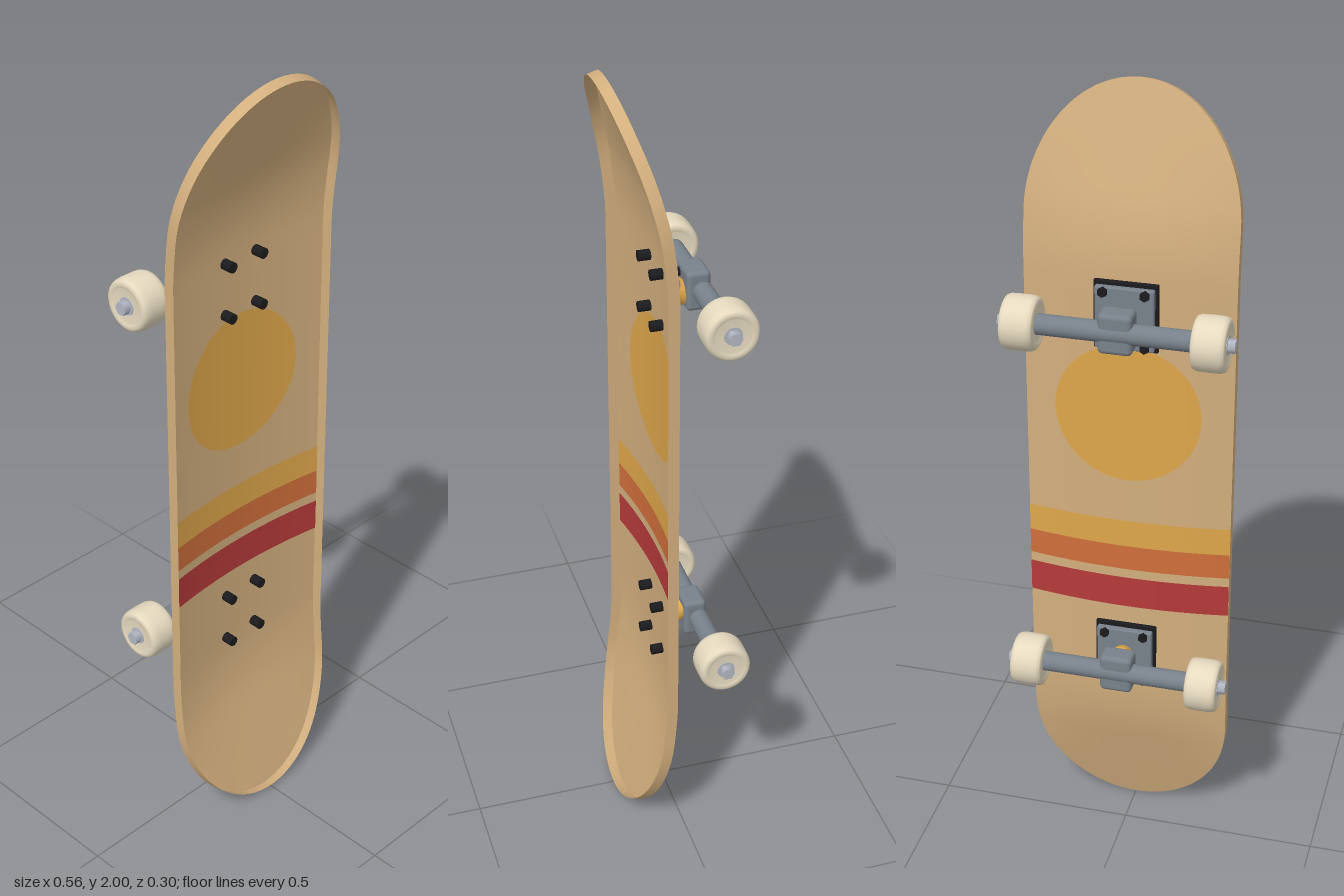
import * as THREE from 'three';
import { RoundedBoxGeometry } from 'three/addons/geometries/RoundedBoxGeometry.js';

const paint = (name, color, side = THREE.FrontSide) => {
  const m = new THREE.MeshStandardMaterial({ color, side });
  m.name = name;
  return m;
};

// Deck dimensions
const Y0 = 0.008, Y1 = 1.992, HALF = 0.255, NOSE = 0.31, THICK = 0.027;

// Half width of the deck outline at height y
function halfWidth(y) {
  const d = Math.max(0, Y0 + NOSE - y, y - (Y1 - NOSE)) / NOSE;
  return HALF * Math.sqrt(Math.max(0, 1 - d * d));
}

// Flat, then a smooth bend into a straight kick: returns rise and slope
function kick(d, slope) {
  if (d <= 0) return [0, 0];
  if (d < 0.2) return [slope * d * d / 0.4, slope * d / 0.2];
  return [slope * (d - 0.1), slope];
}

// Point on the deck, at a depth measured back from the front of its rim
function deckPoint(x, y, depth) {
  const [r1, s1] = kick(y - 1.55, 0.329);
  const [r0, s0] = kick(0.45 - y, 0.283);
  const slope = s1 - s0, len = Math.hypot(1, slope);
  const concave = 0.022 * (1 - 0.8 * THREE.MathUtils.smoothstep(Math.abs(y - 1), 0.6, 0.88));
  const z = 0.039 + r1 + r0 + concave * (x / HALF) ** 2;
  return [x, y + depth * slope / len, z - depth / len];
}

// Grid surface from a function of (column, row)
function gridGeometry(cols, rows, point, flip = false) {
  const pos = [], index = [];
  for (let j = 0; j <= rows; j++)
    for (let i = 0; i <= cols; i++) pos.push(...point(i / cols, j));
  for (let j = 0; j < rows; j++)
    for (let i = 0; i < cols; i++) {
      const a = j * (cols + 1) + i, b = a + 1, c = a + cols + 1, d = c + 1;
      if (flip) index.push(a, d, b, a, c, d);
      else index.push(a, b, d, a, d, c);
    }
  const g = new THREE.BufferGeometry();
  g.setAttribute('position', new THREE.Float32BufferAttribute(pos, 3));
  g.setIndex(index);
  g.computeVertexNormals();
  return g;
}

// Skin that follows the deck between the given rows
const skin = (ys, width, depth, back) => gridGeometry(20, ys.length - 1,
  (u, j) => deckPoint((u * 2 - 1) * width(ys[j]), ys[j], depth), back);

// Rows from a to b, crowded towards both ends for round outlines
const roundRows = (a, b, n) => Array.from({ length: n + 1 },
  (_, i) => (a + b) / 2 - (b - a) / 2 * Math.cos(Math.PI * i / n));

export function createModel() {
  const root = new THREE.Group();
  const wood = paint('maple wood', 0xd3af7e, THREE.DoubleSide);
  const yellow = paint('sun yellow', 0xdfa74b);
  const orange = paint('burnt orange', 0xd06f3b);
  const red = paint('brick red', 0xb63a3a);
  const metal = paint('grey metal', 0x78818b);
  const steel = paint('pale steel', 0xb2b7c3);
  const black = paint('black', 0x1b1b1d);
  const cream = paint('cream urethane', 0xe6dabf);

  const add = (parent, name, geometry, material, x = 0, y = 0, z = 0) => {
    const m = new THREE.Mesh(geometry, material);
    m.name = name;
    m.position.set(x, y, z);
    parent.add(m);
    return m;
  };

  // Deck: an open shell made of the belly and the rim wall standing on it
  const deck = new THREE.Group();
  deck.name = 'deck';
  root.add(deck);
  const rows = [];
  for (let i = 0; i < 20; i++) rows.push(Y0 + NOSE * (1 - Math.cos(Math.PI / 2 * i / 20)));
  for (let i = 0; i <= 40; i++) rows.push(Y0 + NOSE + (Y1 - Y0 - 2 * NOSE) * i / 40);
  for (let i = 1; i <= 20; i++) rows.push(Y1 - NOSE + NOSE * Math.sin(Math.PI / 2 * i / 20));
  add(deck, 'deckBelly', skin(rows, halfWidth, THICK, true), wood);
  for (const s of [1, -1])
    add(deck, s > 0 ? 'deckRimLeft' : 'deckRimRight', gridGeometry(1, rows.length - 1,
      (u, j) => deckPoint(s * halfWidth(rows[j]), rows[j], u * THICK), s < 0), wood);

  // Painted stripes and sun on both faces of the belly
  const bands = [
    ['yellowStripe', yellow, 0.842, 0.915],
    ['orangeStripe', orange, 0.775, 0.842],
    ['redStripe', red, 0.665, 0.75],
  ];
  const sunY = 1.21, sunR = 0.18;
  const sunWidth = (y) => Math.sqrt(Math.max(0, sunR * sunR - (y - sunY) ** 2));
  for (const back of [false, true]) {
    const depth = THICK + (back ? 0.0015 : -0.0015);
    for (const [name, mat, a, b] of bands)
      add(deck, name, skin([a, b], halfWidth, depth, back), mat);
    add(deck, 'sun', skin(roundRows(sunY - sunR, sunY + sunR, 32), sunWidth, depth, back), yellow);
  }

  // Cylinders along z and along x
  const rodZ = (r, len, n = 24) => new THREE.CylinderGeometry(r, r, len, n).rotateX(Math.PI / 2);
  const rodX = (r, len, n = 24) => new THREE.CylinderGeometry(r, r, len, n).rotateZ(-Math.PI / 2);

  // Wheel profile: bevelled shoulders and dished sides, turned about x
  const profile = [[0, -0.036], [0.042, -0.036], [0.046, -0.04], [0.055, -0.04], [0.061, -0.037],
    [0.0645, -0.029], [0.0655, -0.016], [0.0655, 0.016], [0.0645, 0.029], [0.061, 0.037],
    [0.055, 0.04], [0.046, 0.04], [0.042, 0.036], [0, 0.036]];
  const wheelGeometry = new THREE.LatheGeometry(
    profile.map(([r, h]) => new THREE.Vector2(r, h)), 40).rotateZ(-Math.PI / 2);

  // Trucks, with kingpins leaning towards the middle of the board
  const AXLE = -0.0875;
  for (const [name, y, lean] of [['topTruck', 1.47, -0.42], ['bottomTruck', 0.532, 0.42]]) {
    const truck = new THREE.Group();
    truck.name = name;
    truck.position.y = y;
    root.add(truck);

    // Mounting stack
    add(truck, 'riserPad', new RoundedBoxGeometry(0.156, 0.172, 0.012, 2, 0.004), black, 0, 0, 0.006);
    add(truck, 'baseplate', new RoundedBoxGeometry(0.142, 0.155, 0.017, 2, 0.004), metal, 0, 0, -0.009);
    for (const x of [-0.05, 0.05])
      for (const dy of [-0.066, 0.066]) {
        add(truck, 'bolt', rodZ(0.013, 0.042), black, x, dy, 0.021);
        add(truck, 'boltNut', rodZ(0.012, 0.012, 6), black, x, dy, -0.021);
      }

    // Kingpin stack and hanger
    const kingpin = new THREE.Group();
    kingpin.name = 'kingpin';
    kingpin.position.z = -0.016;
    kingpin.rotation.x = lean;
    truck.add(kingpin);
    add(kingpin, 'kingpinSeat', rodZ(0.026, 0.02), metal, 0, 0, -0.008);
    add(kingpin, 'bushing', rodZ(0.03, 0.026), yellow, 0, 0, -0.031);
    add(truck, 'hangerBlock', new RoundedBoxGeometry(0.082, 0.1, 0.058, 3, 0.012), metal, 0, 0, -0.079);
    add(truck, 'hanger', rodX(0.025, 0.376), metal, 0, 0, AXLE);
    add(truck, 'axle', rodX(0.009, 0.558, 16), steel, 0, 0, AXLE);

    // Wheels
    for (const s of [-1, 1]) {
      add(truck, 'wheel', wheelGeometry, cream, s * 0.2235, 0, AXLE);
      add(truck, 'bearing', rodX(0.022, 0.004), steel, s * 0.259, 0, AXLE);
      add(truck, 'axleNut', rodX(0.017, 0.018, 6), steel, s * 0.27, 0, AXLE);
    }
  }
  return root;
}
